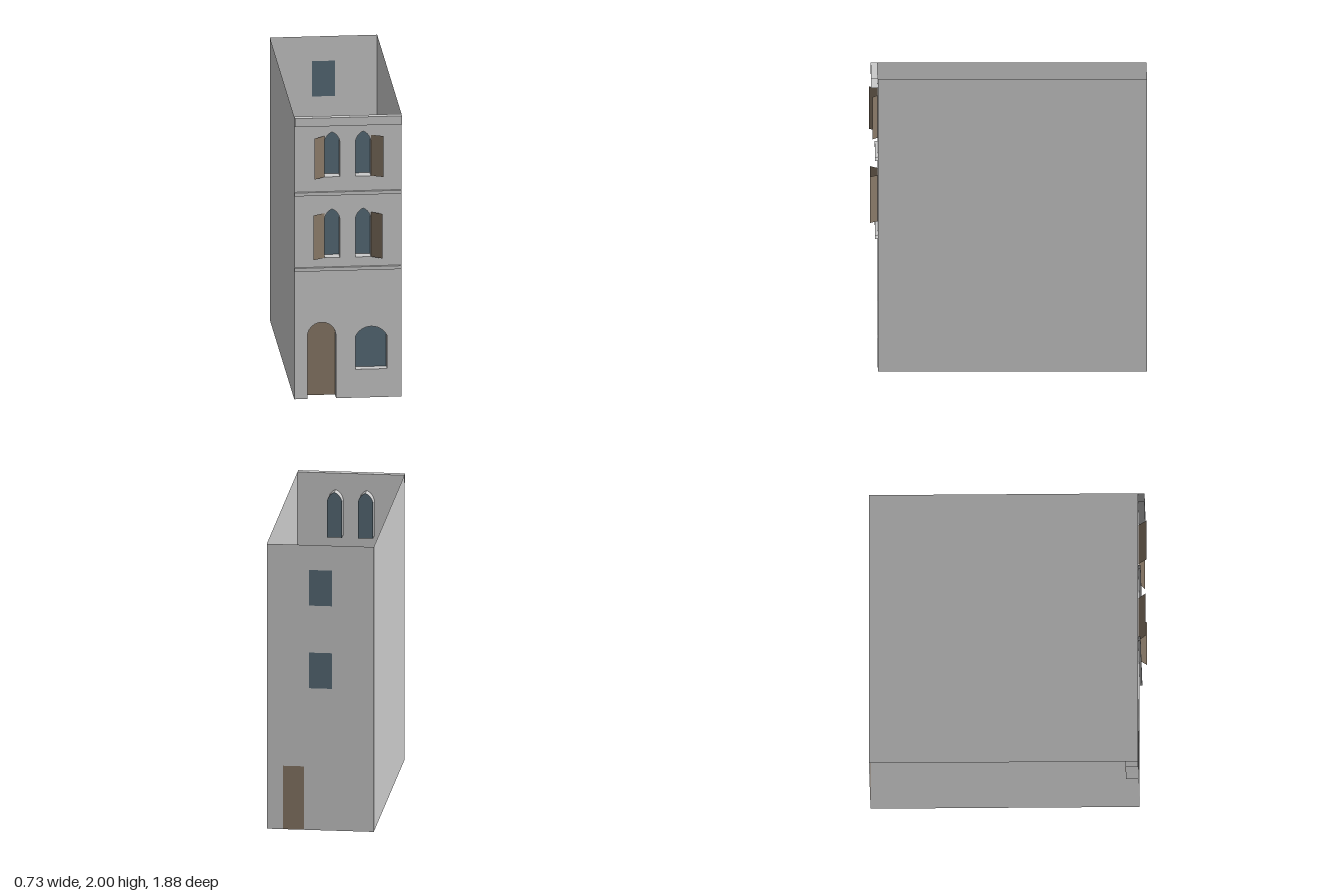
import * as THREE from 'three';
import { toCreasedNormals } from 'three/addons/utils/BufferGeometryUtils.js';

const material = (color) => new THREE.MeshStandardMaterial({ color, side: THREE.DoubleSide });
const stone = material(0xcccccc);
const glass = material(0x586c78);
const wood = material(0x8a7a68);

const H = 0.364;      // half width of the house
const FRONT = 0.885;  // facade plane
const BACK = -0.935;  // rear wall plane
const TOP = 2;

const v2 = (x, y) => new THREE.Vector2(x, y);

// Ribbon of quads between two equally long rows of points
function strip(a, b) {
  const pos = [];
  const push = (...ps) => ps.forEach((p) => pos.push(p.x, p.y, p.z));
  for (let i = 0; i < a.length - 1; i++) {
    push(a[i], a[i + 1], b[i + 1], a[i], b[i + 1], b[i]);
  }
  const g = new THREE.BufferGeometry();
  g.setAttribute('position', new THREE.Float32BufferAttribute(pos, 3));
  g.computeVertexNormals();
  return toCreasedNormals(g, 0.5);
}

// Round or segmental arch, listed from right spring to left spring
function roundArch(x0, x1, top, rise) {
  const hw = (x1 - x0) / 2, cx = (x0 + x1) / 2;
  const r = (hw * hw + rise * rise) / (2 * rise);
  const sweep = Math.asin(Math.min(1, hw / r));
  const pts = [];
  for (let i = 0; i <= 12; i++) {
    const t = sweep * (1 - i / 6);
    pts.push(v2(cx + r * Math.sin(t), top - r + r * Math.cos(t)));
  }
  return pts;
}

// Pointed arch, listed from right spring to left spring
function pointedArch(x0, x1, top, rise) {
  const cx = (x0 + x1) / 2, hw = (x1 - x0) / 2, spring = top - rise;
  const half = new THREE.QuadraticBezierCurve(
    v2(hw, spring), v2(hw * 0.75, spring + rise * 0.75), v2(0, top)).getPoints(5);
  const right = half.map((p) => v2(cx + p.x, p.y));
  const left = half.slice(0, -1).reverse().map((p) => v2(cx - p.x, p.y));
  return [...right, ...left];
}

export function createModel() {
  const model = new THREE.Group();
  const add = (name, geometry, mat, parent = model) => {
    const mesh = new THREE.Mesh(geometry, mat);
    mesh.name = name;
    parent.add(mesh);
    return mesh;
  };

  // Arched openings in the facade; z is the plane of the pane or door leaf
  const openings = [
    { name: 'frontDoor', x0: -0.275, x1: -0.08, y0: 0, z: 0.80, mat: wood,
      arch: roundArch(-0.275, -0.08, 0.54, 0.0975) },
    { name: 'shopWindow', x0: 0.052, x1: 0.266, y0: 0.2, z: 0.825, mat: glass,
      arch: roundArch(0.052, 0.266, 0.503, 0.068) },
  ];
  for (const [floor, y0, top] of [['middle', 0.996, 1.34], ['upper', 1.568, 1.885]]) {
    for (const [side, x0, x1] of [['Right', -0.159, -0.055], ['Left', 0.052, 0.156]]) {
      openings.push({ name: `${floor}${side}Window`, x0, x1, y0, z: 0.81, mat: glass,
        arch: pointedArch(x0, x1, top, 0.065) });
    }
  }

  // Facade: the doorway is a notch in the outline, the windows are holes
  const door = openings[0];
  const facade = new THREE.Shape([
    v2(-H, 0), v2(door.x0, 0), ...[...door.arch].reverse(), v2(door.x1, 0),
    v2(H, 0), v2(H, TOP), v2(-H, TOP),
  ]);
  for (const o of openings) {
    const bl = v2(o.x0, o.y0), br = v2(o.x1, o.y0);
    const outline = [bl, br, ...o.arch];
    if (o !== door) facade.holes.push(new THREE.Path(outline));

    // Reveal runs back from the facade to the pane; the doorway has no sill
    const rim = o === door ? [br, ...o.arch, bl] : [...outline, bl];
    const at = (z) => rim.map((p) => new THREE.Vector3(p.x, p.y, z));
    const group = new THREE.Group();
    group.name = o.name;
    model.add(group);
    add('reveal', strip(at(FRONT), at(o.z)), stone, group);
    add('pane', new THREE.ShapeGeometry(new THREE.Shape(outline)), o.mat, group).position.z = o.z;
  }
  add('facade', new THREE.ShapeGeometry(facade), stone).position.z = FRONT;

  // Side walls
  for (const s of [-1, 1]) {
    const wall = add(s > 0 ? 'leftWall' : 'rightWall', new THREE.PlaneGeometry(FRONT - BACK, TOP), stone);
    wall.rotation.y = s * Math.PI / 2;
    wall.position.set(s * H, TOP / 2, (FRONT + BACK) / 2);
  }

  // Rear wall with flush windows and door
  const rect = (x0, x1, y0, y1) => [v2(x0, y0), v2(x1, y0), v2(x1, y1), v2(x0, y1)];
  const rear = new THREE.Shape([
    v2(-H, 0), v2(0.112, 0), v2(0.112, 0.445), v2(0.255, 0.445), v2(0.255, 0),
    v2(H, 0), v2(H, TOP), v2(-H, TOP),
  ]);
  const rearPart = (name, shape, mat) => {
    const g = new THREE.ShapeGeometry(shape);
    g.rotateY(Math.PI); // face -z, then mirror x back through the outline below
    add(name, g, mat).position.z = BACK;
  };
  const flip = (pts) => pts.map((p) => v2(-p.x, p.y)).reverse();
  const rearWall = new THREE.Shape(flip(rear.getPoints()));
  for (const [name, y0, y1] of [['rearMiddleWindow', 0.995, 1.245], ['rearUpperWindow', 1.575, 1.825]]) {
    const pts = flip(rect(-0.08, 0.078, y0, y1));
    rearWall.holes.push(new THREE.Path(pts));
    rearPart(name, new THREE.Shape(pts), glass);
  }
  rearPart('rearDoor', new THREE.Shape(flip(rect(0.112, 0.255, 0, 0.445))), wood);
  rearPart('rearWall', rearWall, stone);

  // Cornice and string courses: open-ended mouldings along the facade
  for (const [name, y0, y1, depth] of [
    ['cornice', 1.94, TOP, 0.045], ['upperLedge', 1.441, 1.465, 0.018], ['lowerLedge', 0.907, 0.931, 0.018]]) {
    const profile = [[y0, 0], [y0, depth], [y1, depth], [y1, 0]];
    const at = (x) => profile.map(([y, d]) => new THREE.Vector3(x, y, FRONT + d));
    add(name, strip(at(H), at(-H)), stone);
  }

  // Thin shutters, each swung open by its own amount (outer x, outer z)
  for (const [name, hinge, x, z, y0, y1] of [
    ['upperRightShutter', -0.159, -0.233, 0.942, 1.568, 1.858],
    ['upperLeftShutter', 0.156, 0.239, 0.922, 1.568, 1.858],
    ['middleRightShutter', -0.159, -0.239, 0.935, 0.996, 1.312],
    ['middleLeftShutter', 0.156, 0.231, 0.938, 0.996, 1.312]]) {
    const ends = [[hinge, FRONT], [x, z]];
    if (x < hinge) ends.reverse();
    const at = (y) => ends.map(([ex, ez]) => new THREE.Vector3(ex, y, ez));
    add(name, strip(at(y0), at(y1)), wood);
  }

  return model;
}
